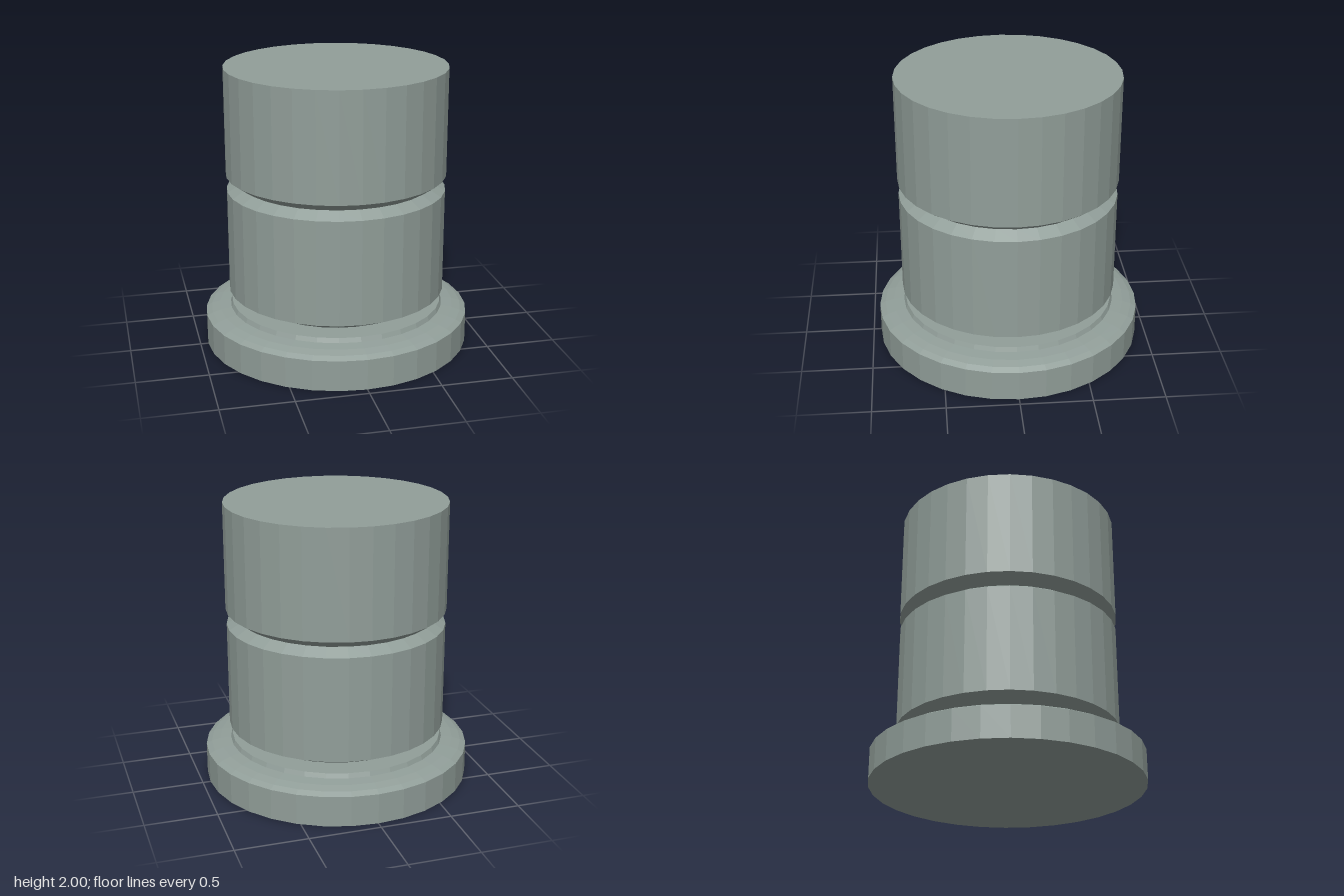
import * as THREE from 'three';

const SIDES = 32;

export function createModel() {
  const model = new THREE.Group();
  model.name = 'groovedPost';

  const greyGreen = new THREE.MeshStandardMaterial({ color: 0x919e99, flatShading: true });
  greyGreen.name = 'greyGreen';

  // Turned part from [radius, height] pairs, listed bottom to top
  const turn = (name, profile) => {
    const points = profile.map(([r, y]) => new THREE.Vector2(r, y));
    const mesh = new THREE.Mesh(new THREE.LatheGeometry(points, SIDES), greyGreen);
    mesh.name = name;
    model.add(mesh);
  };

  // Wide foot with a domed shoulder and a low collar
  turn('base', [
    [0, 0], [0.945, 0], [0.945, 0.217], [0.905, 0.238], [0.845, 0.255],
    [0.767, 0.265], [0.755, 0.297], [0, 0.297],
  ]);

  // Lower drum, tapered underneath, and upper drum, meeting in a V groove
  turn('body', [
    [0.59, 0.297], [0.772, 0.39], [0.772, 1.13], [0.69, 1.18],
    [0.777, 1.24], [0.777, 2], [0, 2],
  ]);

  return model;
}
